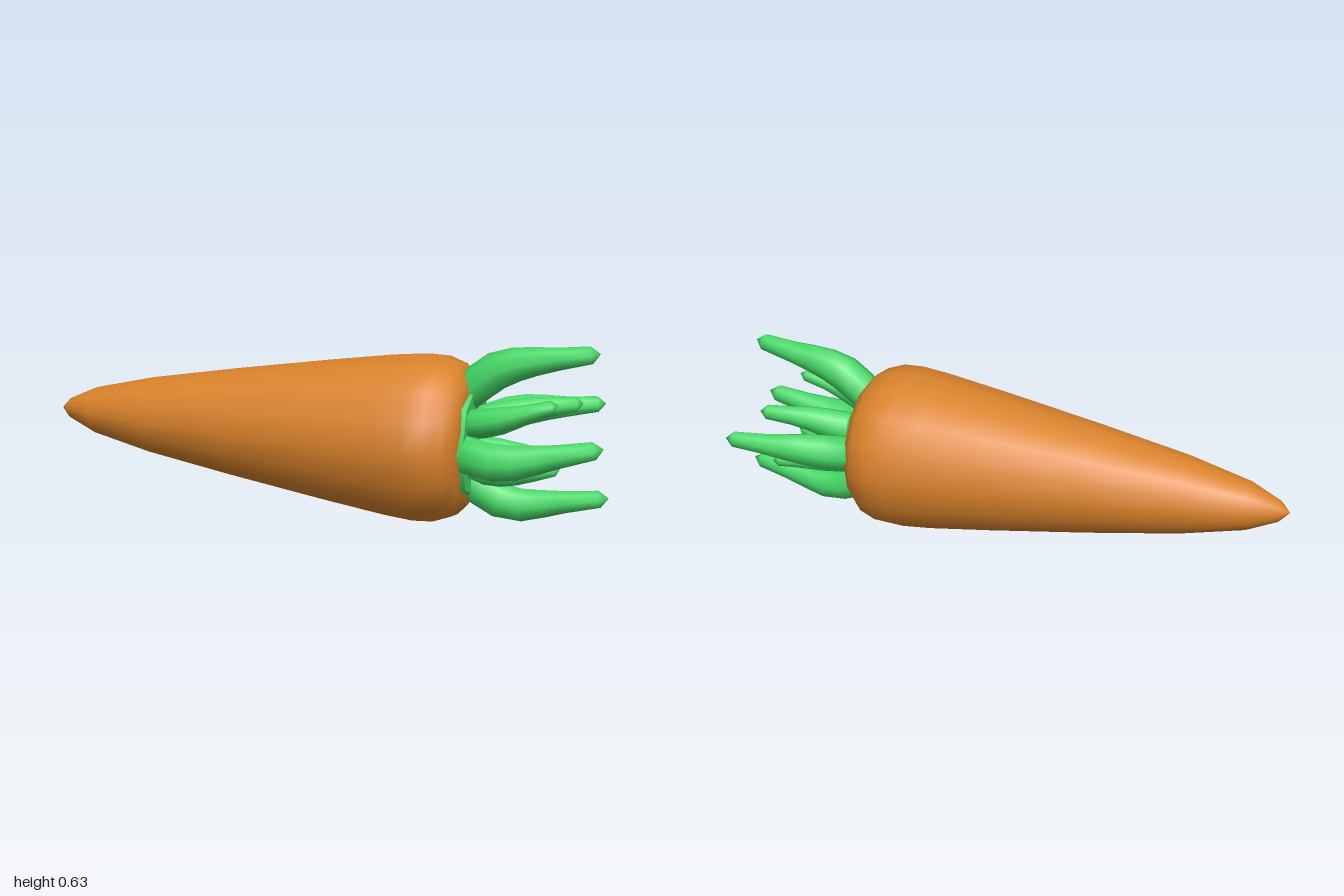
import * as THREE from 'three';
import { mergeVertices } from 'three/addons/utils/BufferGeometryUtils.js';

const CY = 0.288, CZ = 0.023; // axis of the root

// Tapered, bent leaf: a tube whose rings are rescaled along its length
function leafGeometry(points, radius) {
  const curve = new THREE.CatmullRomCurve3(points.map(p => new THREE.Vector3(...p)));
  const taper = [0.85, 1, 1, 0.9, 0.75, 0.6, 0.46, 0];
  const rings = taper.length - 1, sides = 8;
  const geo = new THREE.TubeGeometry(curve, rings, radius, sides, false);
  const pos = geo.attributes.position, v = new THREE.Vector3();
  for (let i = 0; i <= rings; i++) {
    // the last full ring sits close to the tip, so the end is blunt
    const from = curve.getPointAt(i / rings);
    const to = curve.getPointAt(i === rings - 1 ? 0.94 : i / rings);
    for (let j = 0; j <= sides; j++) {
      const k = i * (sides + 1) + j;
      v.fromBufferAttribute(pos, k).sub(from).multiplyScalar(taper[i]).add(to);
      pos.setXYZ(k, v.x, v.y, v.z);
    }
  }
  geo.deleteAttribute('uv');
  geo.deleteAttribute('normal');
  const merged = mergeVertices(geo, 1e-4);
  merged.computeVertexNormals();
  return merged;
}

export function createModel() {
  const group = new THREE.Group();
  const orange = new THREE.MeshStandardMaterial({ color: 0xd9822b });
  const green = new THREE.MeshStandardMaterial({ color: 0x46d867, side: THREE.DoubleSide });

  // Root: lathe profile as [radius, x], laid along the x axis
  const profile = [
    [0, -1], [0.036, -0.965], [0.083, -0.86], [0.135, -0.64], [0.19, -0.32],
    [0.245, 0.03], [0.277, 0.25], [0.287, 0.35], [0.284, 0.42], [0.262, 0.48],
    [0.225, 0.515], [0.17, 0.53], [0, 0.53],
  ].map(p => new THREE.Vector2(...p));
  const root = new THREE.Mesh(new THREE.LatheGeometry(profile, 16), orange);
  root.name = 'root';
  root.rotation.z = -Math.PI / 2;
  root.position.set(0, CY, CZ);
  group.add(root);

  // Crown: flat green patch the leaves grow from
  const crown = new THREE.Mesh(new THREE.CylinderGeometry(0.19, 0.21, 0.03, 8), green);
  crown.name = 'crown';
  crown.rotation.z = -Math.PI / 2;
  crown.position.set(0.522, CY, CZ);
  group.add(crown);

  // Leaves: name, radius, centre line from crown to tip
  const leaves = [
    ['topLeaf', 0.064, [[0.5, 0.44, 0.023], [0.58, 0.52, 0.023], [0.67, 0.56, 0.023], [0.8, 0.585, 0.023], [0.945, 0.612, 0.023]]],
    ['bottomLeaf', 0.064, [[0.5, 0.175, 0.023], [0.58, 0.11, 0.023], [0.67, 0.08, 0.023], [0.82, 0.1, 0.023], [0.99, 0.13, 0.023]]],
    ['backLeaf', 0.062, [[0.5, 0.305, -0.12], [0.58, 0.33, -0.19], [0.67, 0.35, -0.235], [0.78, 0.36, -0.26], [0.92, 0.375, -0.292]]],
    ['frontLeaf', 0.066, [[0.5, 0.285, 0.13], [0.58, 0.268, 0.175], [0.67, 0.265, 0.192], [0.82, 0.295, 0.185], [0.99, 0.335, 0.172]]],
    ['innerBackLeaf', 0.058, [[0.5, 0.335, 0.0], [0.6, 0.355, -0.04], [0.7, 0.385, -0.075], [0.87, 0.41, -0.125]]],
    ['upperFrontLeaf', 0.046, [[0.5, 0.36, 0.1], [0.6, 0.385, 0.135], [0.7, 0.415, 0.14], [0.83, 0.455, 0.118]]],
    ['lowerFrontLeaf', 0.046, [[0.5, 0.235, 0.075], [0.6, 0.205, 0.1], [0.7, 0.205, 0.103], [0.84, 0.238, 0.103]]],
    ['lowerBackLeaf', 0.046, [[0.5, 0.25, -0.04], [0.6, 0.235, -0.065], [0.7, 0.225, -0.09], [0.83, 0.223, -0.132]]],
  ];
  for (const [name, radius, points] of leaves) {
    const leaf = new THREE.Mesh(leafGeometry(points, radius), green);
    leaf.name = name;
    group.add(leaf);
  }
  return group;
}
